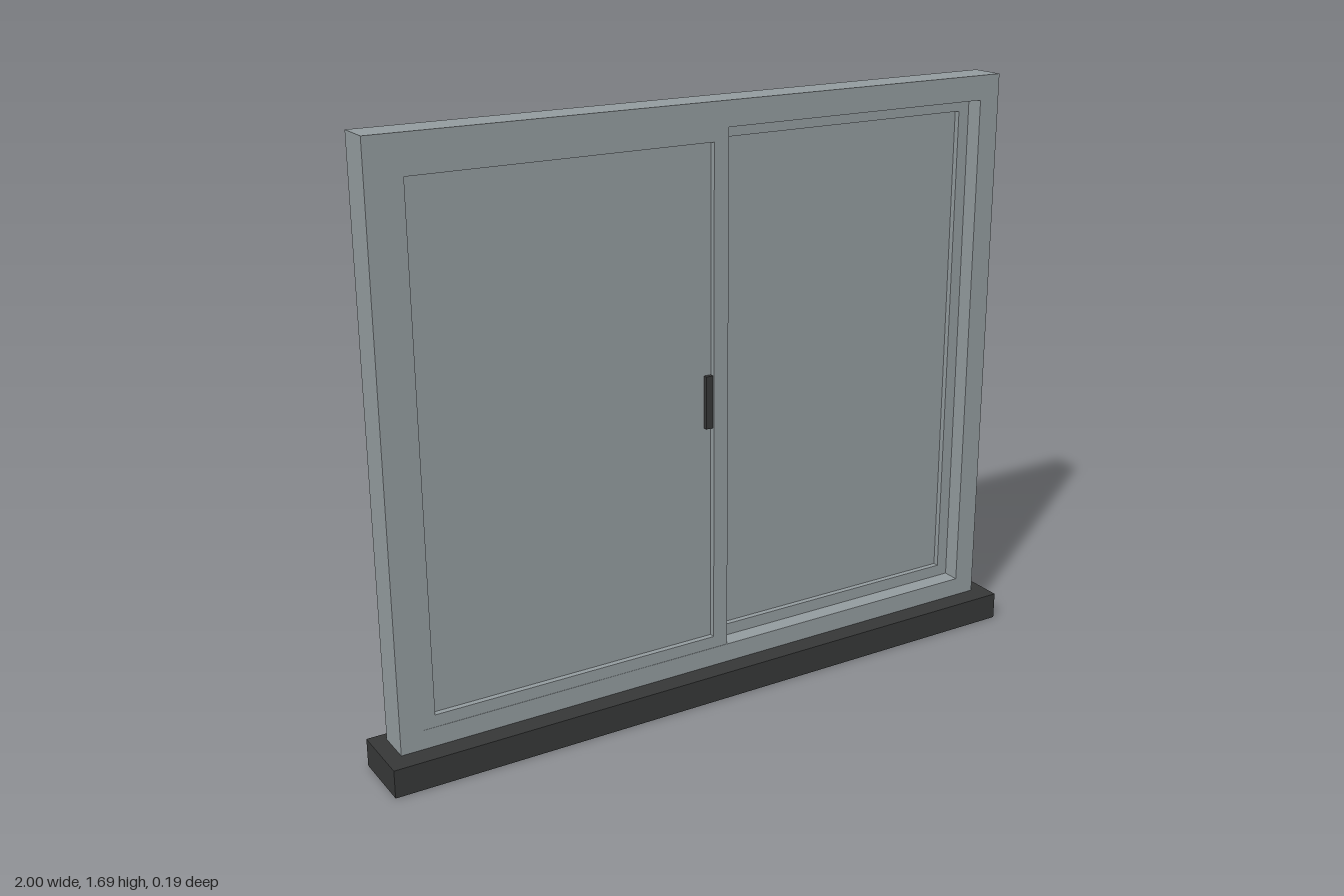
import * as THREE from 'three';

const grey = new THREE.MeshStandardMaterial({ color: 0x939b9e });
grey.name = 'window grey';
const dark = new THREE.MeshStandardMaterial({ color: 0x363737 });
dark.name = 'dark trim';

// Box given by its lower and upper limits on each axis
function box(name, [x0, x1], [y0, y1], [z0, z1], material) {
  const mesh = new THREE.Mesh(new THREE.BoxGeometry(x1 - x0, y1 - y0, z1 - z0), material);
  mesh.position.set((x0 + x1) / 2, (y0 + y1) / 2, (z0 + z1) / 2);
  mesh.name = name;
  return mesh;
}

function rect(path, [x0, x1], [y0, y1]) {
  path.moveTo(x0, y0);
  path.lineTo(x1, y0);
  path.lineTo(x1, y1);
  path.lineTo(x0, y1);
  path.closePath();
  return path;
}

// Rectangular ring extruded from z0 to z1
function ring(name, outer, inner, [z0, z1], material) {
  const shape = rect(new THREE.Shape(), ...outer);
  shape.holes.push(rect(new THREE.Path(), ...inner));
  const geometry = new THREE.ExtrudeGeometry(shape, { depth: z1 - z0, bevelEnabled: false });
  const mesh = new THREE.Mesh(geometry, material);
  mesh.position.z = z0;
  mesh.name = name;
  return mesh;
}

// Sliding sash: a ring with a pane set back into it
function sash(name, xOuter, xPane, z) {
  const group = new THREE.Group();
  group.name = name;
  const yPane = [0.17, 1.585];
  const middle = (z[0] + z[1]) / 2;
  group.add(
    ring('sashFrame', [xOuter, [0.135, 1.62]], [xPane, yPane], z, grey),
    box('pane', xPane, yPane, [middle - 0.008, middle + 0.008], grey)
  );
  return group;
}

export function createModel() {
  const model = new THREE.Group();
  model.name = 'slidingWindow';

  // Sill and outer frame
  model.add(box('sill', [-1, 1], [0, 0.08], [-0.095, 0.095], dark));
  model.add(ring('outerFrame', [[-0.955, 0.955], [0.08, 1.69]],
    [[-0.89, 0.89], [0.135, 1.62]], [-0.065, 0.035], grey));

  // Two sashes overlapping at the middle, one behind the other
  model.add(sash('frontSash', [-0.89, 0.045], [-0.855, 0], [-0.015, 0.034]));
  model.add(sash('backSash', [-0.045, 0.89], [0, 0.855], [-0.064, -0.015]));

  // Pull handle passing through the meeting stiles
  model.add(box('handle', [-0.022, 0.047], [0.8, 0.95], [-0.06, 0.03], dark));

  return model;
}
